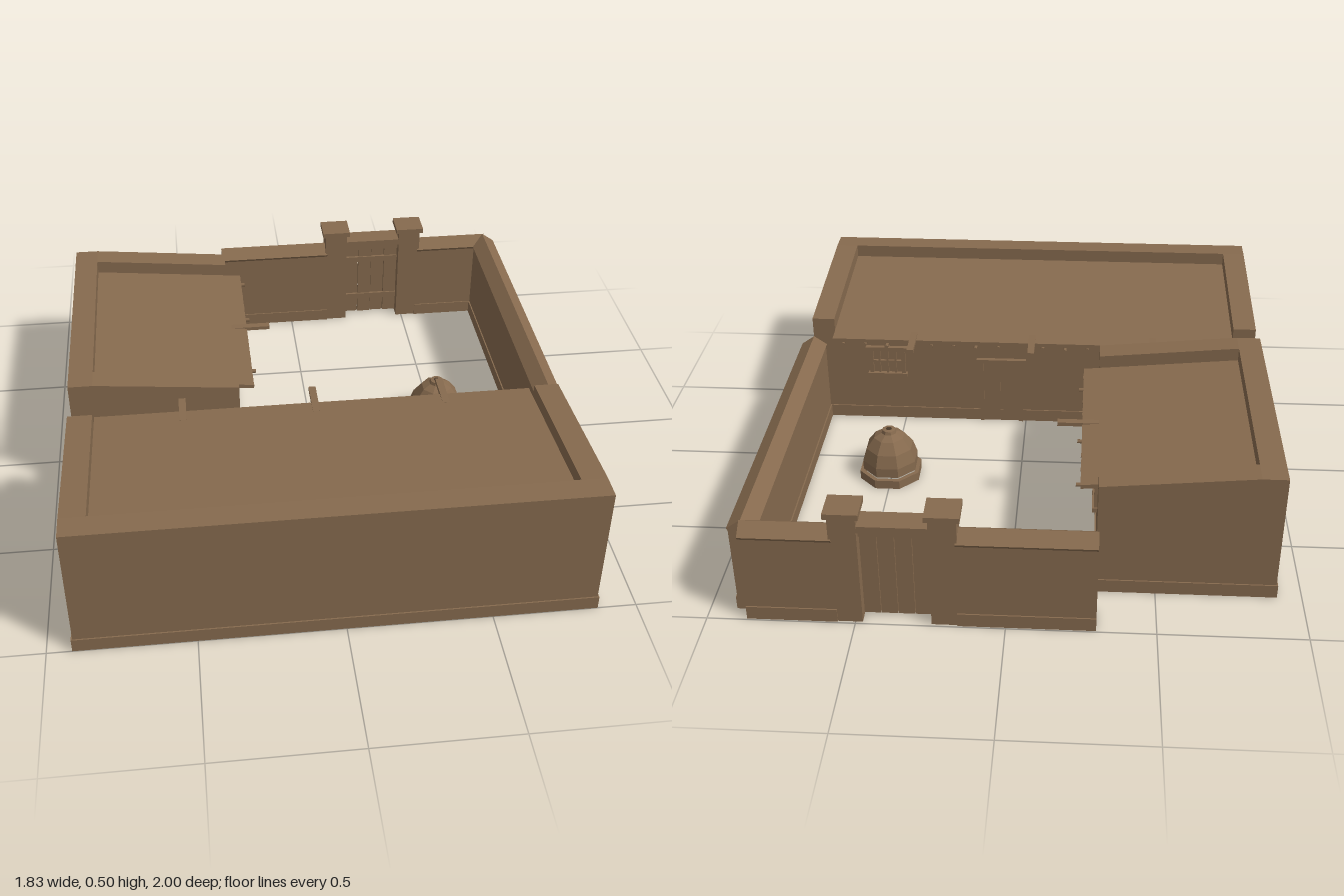
import * as THREE from 'three';

const adobe = new THREE.MeshStandardMaterial({ color: 0x866a4e, side: THREE.DoubleSide });
adobe.name = 'adobe brown';

function add(parent, name, geometry, x = 0, y = 0, z = 0) {
  const mesh = new THREE.Mesh(geometry, adobe);
  mesh.name = name;
  mesh.position.set(x, y, z);
  parent.add(mesh);
  return mesh;
}

// Box given by its lower and upper limits on each axis
function box(parent, name, [x0, x1], [y0, y1], [z0, z1]) {
  return add(parent, name, new THREE.BoxGeometry(x1 - x0, y1 - y0, z1 - z0),
    (x0 + x1) / 2, (y0 + y1) / 2, (z0 + z1) / 2);
}

// Flat-shaded surface made of four-cornered faces
function faces(parent, name, list) {
  const g = new THREE.BufferGeometry();
  const pos = list.flatMap(([a, b, c, d]) => [a, b, c, a, c, d].flat());
  g.setAttribute('position', new THREE.Float32BufferAttribute(pos, 3));
  g.computeVertexNormals();
  return add(parent, name, g);
}

// Low base course around a rectangle
function plinth(parent, x0, x1, z0, z1) {
  const o = 0.005, t = 0.01, y = [0, 0.05];
  for (const [a, b] of [[z0 - o, z0 + t], [z1 - t, z1 + o]]) box(parent, 'plinth', [x0 - o, x1 + o], y, [a, b]);
  for (const [a, b] of [[x0 - o, x0 + t], [x1 - t, x1 + o]]) box(parent, 'plinth', [a, b], y, [z0, z1]);
}

// House shell: low open side at z = 0, high parapet at z = depth
function house(name, x0, x1, depth, low, high, poles, spouts, poleLength) {
  const g = new THREE.Group();
  g.name = name;
  const p = 0.088, eave = -0.06, zi = depth - p;
  const top = z => Math.min(high, low + (high - low) * z / zi);
  const roofY = z => top(z) - 0.05;
  const list = [
    [[x0, 0, depth], [x1, 0, depth], [x1, high, depth], [x0, high, depth]],
    [[x1, 0, 0], [x0, 0, 0], [x0, roofY(0), 0], [x1, roofY(0), 0]],
    [[x0, high, depth], [x1, high, depth], [x1, high, zi], [x0, high, zi]],
    [[x1 - p, roofY(zi), zi], [x0 + p, roofY(zi), zi], [x0 + p, high, zi], [x1 - p, high, zi]],
  ];
  for (const [x, s] of [[x0, 1], [x1, -1]]) {
    const xi = x + s * p;
    const side = [
      [[x, 0, 0], [x, 0, zi], [x, high, zi], [x, low, 0]],
      [[x, 0, zi], [x, 0, depth], [x, high, depth], [x, high, zi]],
      [[x, low, 0], [x, high, zi], [xi, high, zi], [xi, low, 0]],
      [[xi, low, 0], [xi, high, zi], [xi, roofY(zi), zi], [xi, roofY(0), 0]],
      [[xi, roofY(0), 0], [x, roofY(0), 0], [x, low, 0], [xi, low, 0]],
    ];
    list.push(...(s > 0 ? side : side.map(f => [...f].reverse())));
  }
  faces(g, 'wallsAndParapet', list);
  plinth(g, x0, x1, 0, depth);

  // Sloping roof slab with an overhanging eave
  const a = x0 + p, b = x1 - p, t = 0.015, y0 = roofY(eave), y1 = roofY(zi);
  faces(g, 'roof', [
    [[a, y0, eave], [a, y1, zi], [b, y1, zi], [b, y0, eave]],
    [[a, y0 - t, eave], [b, y0 - t, eave], [b, y1 - t, zi], [a, y1 - t, zi]],
    [[b, y0 - t, eave], [a, y0 - t, eave], [a, y0, eave], [b, y0, eave]],
    [[a, y0 - t, eave], [a, y1 - t, zi], [a, y1, zi], [a, y0, eave]],
    [[b, y1 - t, zi], [b, y0 - t, eave], [b, y0, eave], [b, y1, zi]],
  ]);

  // Beam ends under the eave and long rain spouts
  poles.forEach((x, i) => {
    const len = poleLength + (i % 3 === 0 ? 0.014 : 0) + 0.03;
    const beam = add(g, 'roofBeam', new THREE.CylinderGeometry(0.008, 0.008, len, 6), x, y0 - t - 0.008, 0.03 - len / 2);
    beam.rotation.x = Math.PI / 2;
  });
  for (const x of spouts) {
    box(g, 'rainSpout', [x - 0.013, x + 0.013], [y0 - 0.008, y0 + 0.006], [-0.15, 0]);
  }
  return g;
}

// Framed opening on the low side of a house
function opening(parent, name, x, y0, y1, w, bars) {
  const h = w / 2, f = 0.016, zf = [-0.012, 0.004];
  for (const s of [-1, 1]) box(parent, name + 'Jamb', [x + s * h - f / 2, x + s * h + f / 2], [y0, y1], zf);
  box(parent, name + 'Lintel', [x - h - 0.02, x + h + 0.02], [y1 - f, y1], [-0.018, 0.004]);
  if (bars) {
    box(parent, name + 'Sill', [x - h - 0.015, x + h + 0.015], [y0, y0 + f], [-0.018, 0.004]);
    for (let i = 1; i < 4; i++) {
      const bx = x - h + i * w / 4;
      box(parent, name + 'Bar', [bx - 0.004, bx + 0.004], [y0, y1], [-0.01, 0]);
    }
    const my = (y0 + y1) / 2;
    box(parent, name + 'Bar', [x - h, x + h], [my - 0.004, my + 0.004], [-0.01, 0]);
  } else {
    for (const s of [-1, 1]) box(parent, name + 'Leaf', [x + s * h / 2 - h / 2 + 0.006, x + s * h / 2 + h / 2 - 0.006], [0, y1 - f], [-0.005, 0.003]);
  }
}

// Yard wall with a ridged coping, running along local +z
function yardWall(length) {
  const g = new THREE.Group();
  g.name = 'yardWall';
  const s = new THREE.Shape();
  [[-0.045, 0], [0.045, 0], [0.045, 0.325], [0.05, 0.335], [0, 0.37], [-0.05, 0.335], [-0.045, 0.325]]
    .forEach(([x, y], i) => (i ? s.lineTo(x, y) : s.moveTo(x, y)));
  add(g, 'copedWall', new THREE.ExtrudeGeometry(s, { depth: length, bevelEnabled: false }));
  plinth(g, -0.045, 0.045, 0.005, length - 0.005);
  return g;
}

export function createModel() {
  const model = new THREE.Group();
  model.name = 'courtyardHouse';

  // Long main house along the front
  const mainPoles = [];
  for (let i = 0; i < 18; i++) if (![3, 9, 14].includes(i)) mainPoles.push(-0.78 + i * 0.089);
  const main = house('mainHouse', -0.91, 0.86, 0.685, 0.45, 0.503, mainPoles, [-0.505, -0.025, 0.45], 0.064);
  main.position.z = 0.31;
  opening(main, 'window', 0.565, 0.2, 0.335, 0.13, true);
  opening(main, 'door', 0.1, 0, 0.29, 0.16, false);
  model.add(main);

  // Side house, turned so its open side looks into the yard
  const sidePoles = [-0.66, -0.57, -0.48, -0.39, -0.21, -0.12, -0.03, 0.06];
  const side = house('sideHouse', -0.785, 0.18, 0.615, 0.432, 0.482, sidePoles, [-0.302], 0.062);
  side.position.x = -0.295;
  side.rotation.y = -Math.PI / 2;
  opening(side, 'window', -0.556, 0.215, 0.335, 0.11, true);
  opening(side, 'door', -0.175, 0, 0.29, 0.15, false);
  model.add(side);

  // Yard walls: one at the side, two at the back beside the gate
  const sideWall = yardWall(1.255);
  sideWall.position.set(0.86, 0, -0.945);
  model.add(sideWall);
  for (const [x, length] of [[-0.3, 0.46], [0.56, 0.305]]) {
    const wall = yardWall(length);
    wall.rotation.y = Math.PI / 2;
    wall.position.set(x, 0, -0.945);
    model.add(wall);
  }

  // Gate with capped pillars, a lintel and two plank leaves
  const gate = new THREE.Group();
  gate.name = 'gate';
  for (const x of [0.2, 0.522]) {
    box(gate, 'gatePillar', [x - 0.046, x + 0.046], [0, 0.425], [-0.99, -0.9]);
    box(gate, 'pillarCap', [x - 0.058, x + 0.058], [0.423, 0.443], [-1, -0.89]);
  }
  box(gate, 'gateLintel', [0.24, 0.48], [0.365, 0.39], [-0.988, -0.902]);
  box(gate, 'gateHeader', [0.24, 0.48], [0.335, 0.365], [-0.965, -0.925]);
  for (let i = 0; i < 4; i++) {
    const x = 0.246 + i * 0.0575;
    box(gate, 'gatePlank', [x + 0.001, x + 0.0565], [0.01, 0.335], [-0.952, i % 2 ? -0.936 : -0.94]);
  }
  for (const y of [0.08, 0.27]) box(gate, 'gateRail', [0.246, 0.476], [y, y + 0.025], [-0.94, -0.93]);
  model.add(gate);

  // Eight-sided domed oven with a smoke hole
  const oven = new THREE.Group();
  oven.name = 'oven';
  const lathe = pts => {
    const g = new THREE.LatheGeometry(pts.map(([x, y]) => new THREE.Vector2(x, y)), 8, Math.PI / 8).toNonIndexed();
    g.computeVertexNormals();
    return g;
  };
  add(oven, 'ovenBase', lathe([[0.105, 0], [0.122, 0], [0.122, 0.035], [0.105, 0.035], [0.105, 0]]));
  add(oven, 'ovenDome', lathe([[0.108, 0.042], [0.108, 0.08], [0.092, 0.13], [0.06, 0.172], [0.03, 0.188], [0.026, 0.2], [0.012, 0.202]]));
  oven.position.set(0.505, 0, -0.105);
  model.add(oven);

  return model;
}
